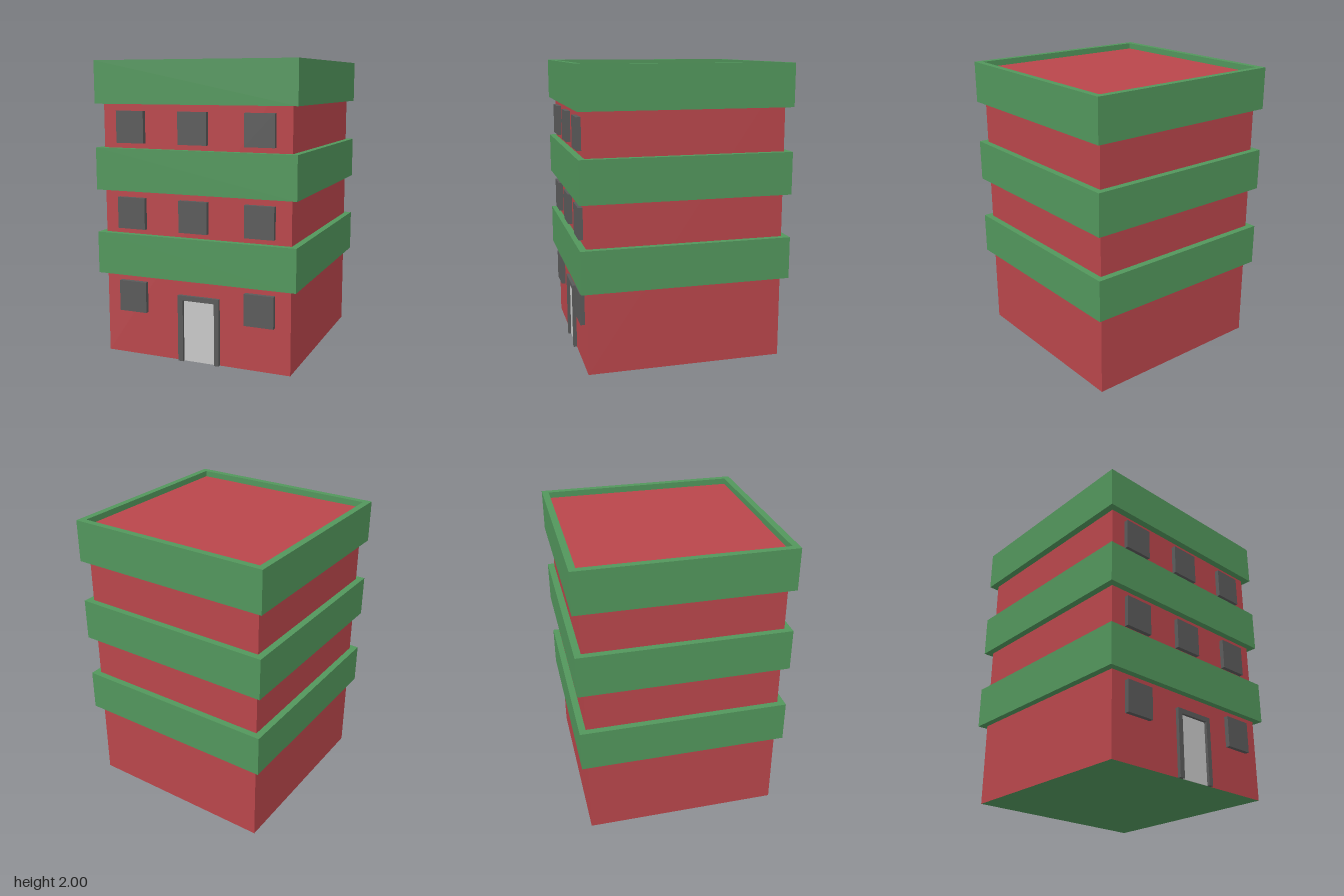
import * as THREE from 'three';

const WALL = 0.664;   // half width of the walls
const BAND = 0.709;   // half width of the balcony bands
const FLOOR = 0.577;  // rise between storeys

const mat = (name, color) => {
  const m = new THREE.MeshStandardMaterial({ color });
  m.name = name;
  return m;
};

export function createModel() {
  const red = mat('wallRed', 0xb9464b);
  const green = mat('bandGreen', 0x52965c);
  const dark = mat('windowGrey', 0x5a5a5a);
  const light = mat('doorGrey', 0xc8c8c8);
  const model = new THREE.Group();
  model.name = 'building';

  const add = (name, geometry, material, x = 0, y = 0, z = 0) => {
    const mesh = new THREE.Mesh(geometry, material);
    mesh.name = name;
    mesh.position.set(x, y, z);
    model.add(mesh);
    return mesh;
  };

  // Wall core up to the recessed roof, with a green underside
  const roofY = 1.96;
  add('walls', new THREE.BoxGeometry(WALL * 2, roofY, WALL * 2),
    [red, red, red, green, red, red], 0, roofY / 2, 0);

  // Square bands wrapped round each storey; the top one forms the parapet
  const ring = new THREE.Shape();
  const square = (path, s) => path.moveTo(-s, -s).lineTo(s, -s).lineTo(s, s).lineTo(-s, s).closePath();
  square(ring, BAND);
  const hole = new THREE.Path();
  square(hole, WALL);
  ring.holes.push(hole);
  const bandGeo = new THREE.ExtrudeGeometry(ring, { depth: 0.285, bevelEnabled: false });
  bandGeo.rotateX(-Math.PI / 2);
  for (let i = 0; i < 3; i++) add('band', bandGeo, green, 0, 0.562 + i * FLOOR, 0);

  // Windows: the door replaces the middle one on the ground floor
  const windowGeo = new THREE.BoxGeometry(0.202, 0.212, 0.03);
  for (let i = 0; i < 3; i++) {
    for (const x of [-0.456, -0.004, 0.456]) {
      if (i === 0 && Math.abs(x) < 0.1) continue;
      add('window', windowGeo, dark, x, 0.412 + i * 0.5765, WALL + 0.015);
    }
  }

  // Door frame (open at the bottom) and recessed door panel
  const frame = new THREE.Shape([
    [-0.121, 0], [-0.084, 0], [-0.084, 0.423], [0.142, 0.423],
    [0.142, 0], [0.175, 0], [0.175, 0.456], [-0.121, 0.456],
  ].map(([x, y]) => new THREE.Vector2(x, y)));
  add('doorFrame', new THREE.ExtrudeGeometry(frame, { depth: 0.023, bevelEnabled: false }), dark, 0, 0, WALL);
  add('door', new THREE.BoxGeometry(0.226, 0.423, 0.004), light, 0.029, 0.2115, WALL + 0.002);

  return model;
}
